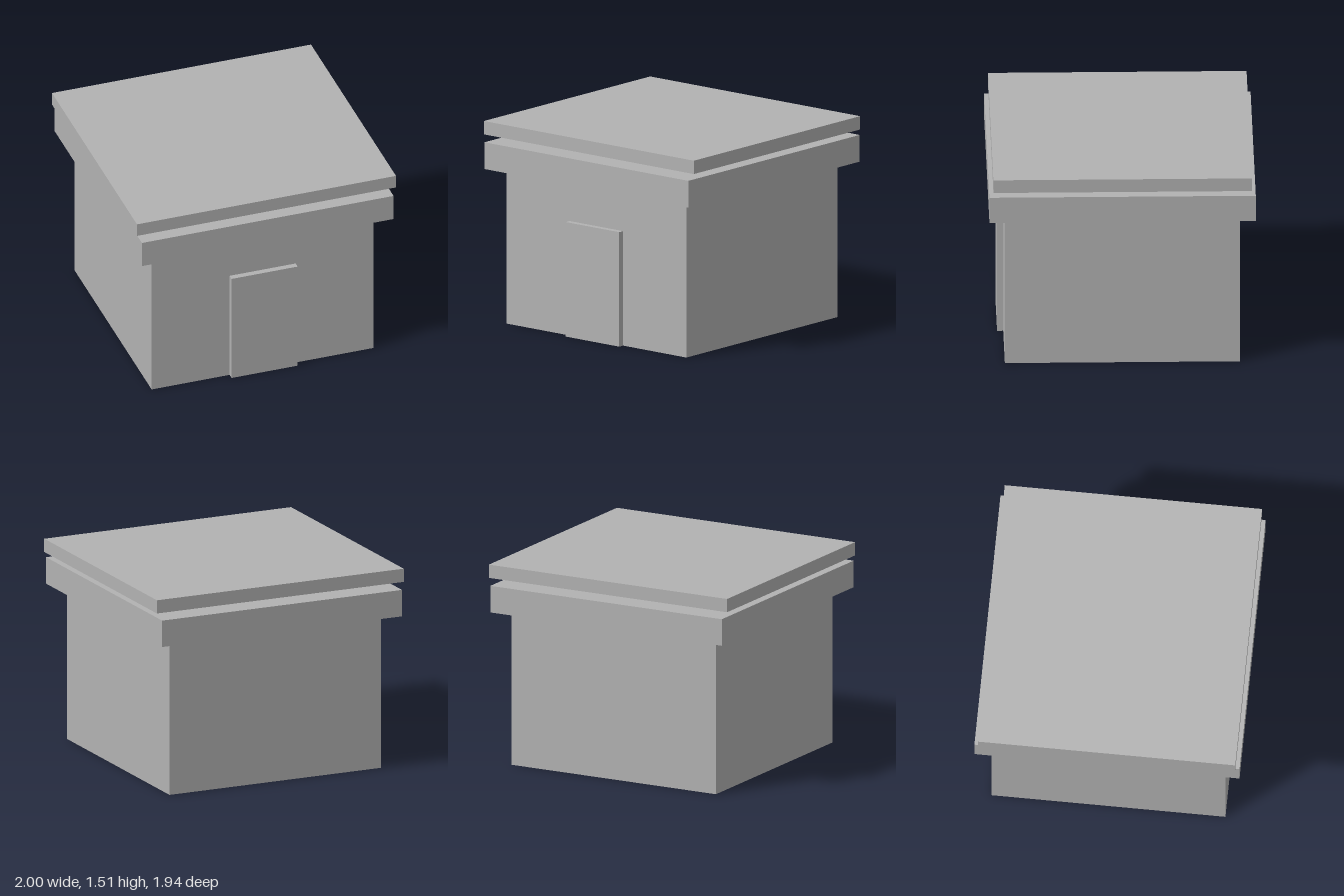
import * as THREE from 'three';

export function createModel() {
  const model = new THREE.Group();
  const stone = new THREE.MeshStandardMaterial({ color: 0xb2b2b2 });
  stone.name = 'plain grey';

  // A block given by its size, the height of its base and its z centre
  const addBlock = (name, width, height, depth, base, z = 0) => {
    const block = new THREE.Mesh(new THREE.BoxGeometry(width, height, depth), stone);
    block.name = name;
    block.position.set(0, base + height / 2, z);
    model.add(block);
  };

  addBlock('walls', 1.714, 1.143, 1.714, 0);
  // Door panel, partly sunk into the front wall
  addBlock('door', 0.51, 0.857, 0.09, 0, 0.857);
  // Two floating slabs above the walls
  addBlock('lowerRoofSlab', 1.943, 0.2, 1.943, 1.16);
  addBlock('upperRoofSlab', 2, 0.1, 1.886, 1.41);

  return model;
}
